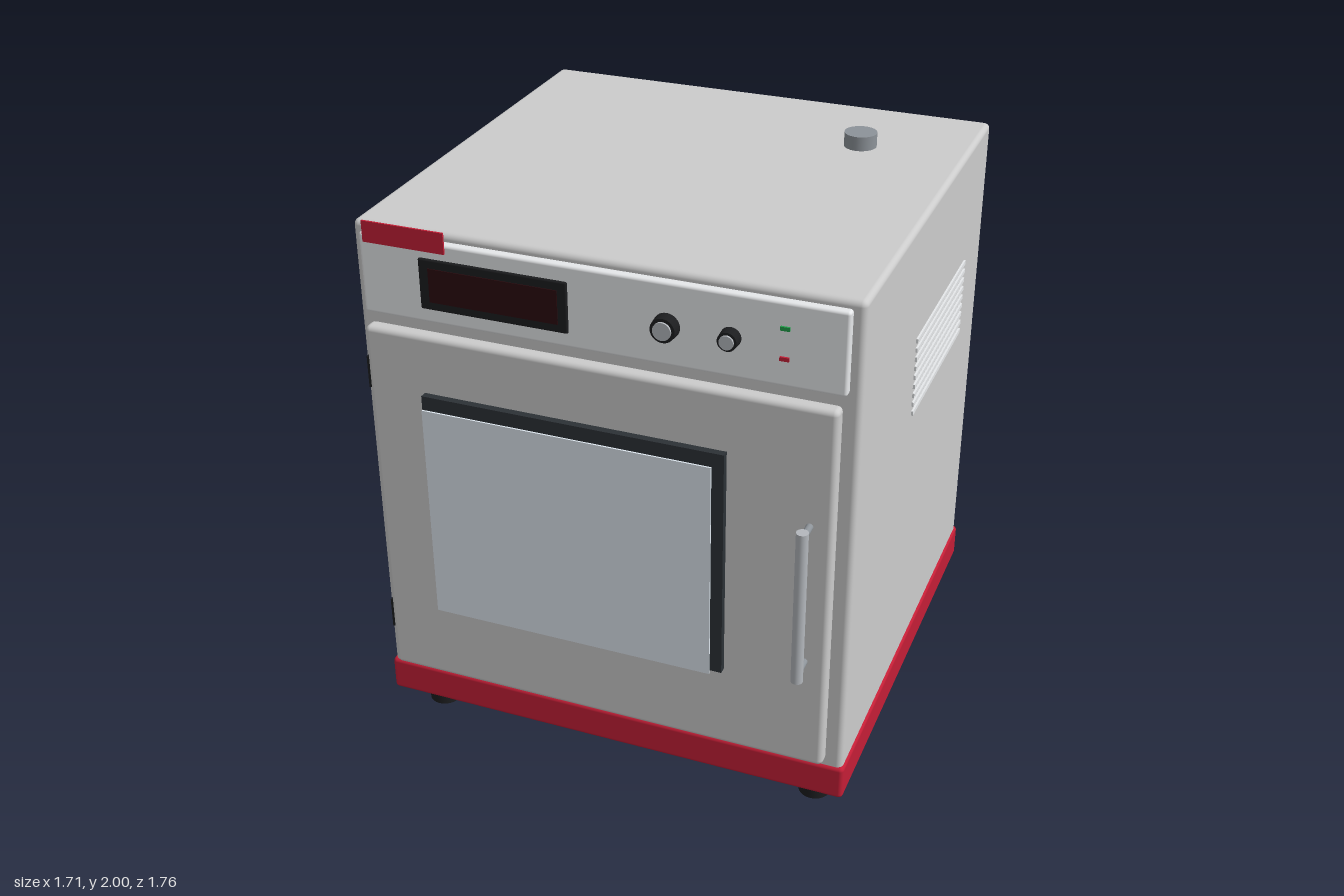
import * as THREE from 'three';
import { RoundedBoxGeometry } from 'three/addons/geometries/RoundedBoxGeometry.js';

const mat = (color) => new THREE.MeshStandardMaterial({ color });
const GREY = mat(0xcccccc), LIGHT = mat(0xe6e8ea), RED = mat(0xc41e36), BLACK = mat(0x1c1d1f);
const DARK = mat(0x2c3136), STEEL = mat(0x8d9399), HANDLE = mat(0xb4b8bd), GLASS = mat(0xdde6ee);
const SCREEN = mat(0x2a0a0e), GREEN = mat(0x1f9e48);

export function createModel() {
  const model = new THREE.Group();

  function add(name, geometry, material, x = 0, y = 0, z = 0) {
    const mesh = new THREE.Mesh(geometry, material);
    mesh.name = name;
    mesh.position.set(x, y, z);
    model.add(mesh);
    return mesh;
  }

  // Box given by its limits on each axis; a radius rounds its edges
  function box(name, material, [x0, x1], [y0, y1], [z0, z1], radius = 0) {
    const size = [x1 - x0, y1 - y0, z1 - z0];
    const geometry = radius ? new RoundedBoxGeometry(...size, 3, radius) : new THREE.BoxGeometry(...size);
    return add(name, geometry, material, (x0 + x1) / 2, (y0 + y1) / 2, (z0 + z1) / 2);
  }

  // Upright cylinder standing on y0
  function post(name, material, r, x, z, y0, y1) {
    return add(name, new THREE.CylinderGeometry(r, r, y1 - y0, 32), material, x, (y0 + y1) / 2, z);
  }

  // Cylinder pointing to the front
  function rod(name, material, r, x, y, z0, z1, rFront = r) {
    const mesh = add(name, new THREE.CylinderGeometry(rFront, r, z1 - z0, 32), material, x, y, (z0 + z1) / 2);
    mesh.rotation.x = Math.PI / 2;
    return mesh;
  }

  // Cabinet, base band and feet
  box('cabinet', GREY, [-0.845, 0.845], [0.105, 1.95], [-0.873, 0.722], 0.02);
  box('baseBand', RED, [-0.853, 0.853], [0.097, 0.226], [-0.88, 0.73], 0.015);
  for (const x of [-0.72, 0.72]) {
    for (const z of [-0.745, 0.597]) post('foot', BLACK, 0.056, x, z, 0, 0.11);
  }

  // Exhaust pipe on the roof
  post('exhaustPipe', STEEL, 0.057, 0.473, -0.48, 1.94, 2);

  // Louvres on both sides
  for (const side of [-1, 1]) {
    for (let i = 0; i < 9; i++) {
      const louvre = new THREE.BoxGeometry(0.014, 0.016, 0.67);
      add('sideLouvre', louvre, LIGHT, side * 0.845, 1.245 + i * 0.034, -0.265);
    }
  }

  // Control panel with display, knobs and lamps
  box('controlPanel', LIGHT, [-0.81, 0.805], [1.645, 1.923], [0.712, 0.75], 0.01);
  box('displayBezel', BLACK, [-0.6, -0.09], [1.695, 1.87], [0.74, 0.758], 0.006);
  box('displayScreen', SCREEN, [-0.565, -0.122], [1.724, 1.84], [0.75, 0.761]);
  for (const [x, r] of [[0.235, 0.044], [0.44, 0.034]]) {
    rod('knob', BLACK, r, x, 1.78, 0.745, 0.787, r * 0.92);
    rod('knobCap', HANDLE, r * 0.68, x, 1.78, 0.78, 0.794);
  }
  box('powerLamp', GREEN, [0.595, 0.625], [1.833, 1.846], [0.745, 0.757]);
  box('alarmLamp', RED, [0.595, 0.625], [1.733, 1.746], [0.745, 0.757]);
  box('redPlate', RED, [-0.792, -0.505], [1.895, 1.967], [0.75, 0.757]);

  // Door and hinges
  box('door', GREY, [-0.8, 0.793], [0.265, 1.61], [0.728, 0.785], 0.018);
  for (const y of [0.453, 1.423]) box('hinge', BLACK, [-0.822, -0.795], [y - 0.057, y + 0.057], [0.715, 0.752]);

  // Window frame, raised pane and the two shelves behind it
  const outline = new THREE.Shape([[-0.595, 0.577], [0.445, 0.577], [0.445, 1.405], [-0.595, 1.405]]
    .map(([x, y]) => new THREE.Vector2(x, y)));
  outline.holes.push(new THREE.Path([[-0.55, 0.622], [-0.55, 1.36], [0.4, 1.36], [0.4, 0.622]]
    .map(([x, y]) => new THREE.Vector2(x, y))));
  add('windowFrame', new THREE.ExtrudeGeometry(outline, { depth: 0.03, bevelEnabled: false }), DARK, 0, 0, 0.78);
  box('windowBack', DARK, [-0.56, 0.41], [0.61, 1.37], [0.775, 0.8]);
  box('windowPane', GLASS, [-0.57, 0.42], [0.6, 1.382], [0.852, 0.858]);
  for (const y of [0.865, 1.125]) box('shelf', STEEL, [-0.55, 0.395], [y - 0.006, y + 0.006], [0.79, 0.853]);

  // Door handle on two stand-offs
  post('handleBar', HANDLE, 0.02, 0.718, 0.86, 0.657, 1.22);
  for (const y of [0.682, 1.196]) rod('handleMount', STEEL, 0.012, 0.718, y, 0.78, 0.86);

  return model;
}
